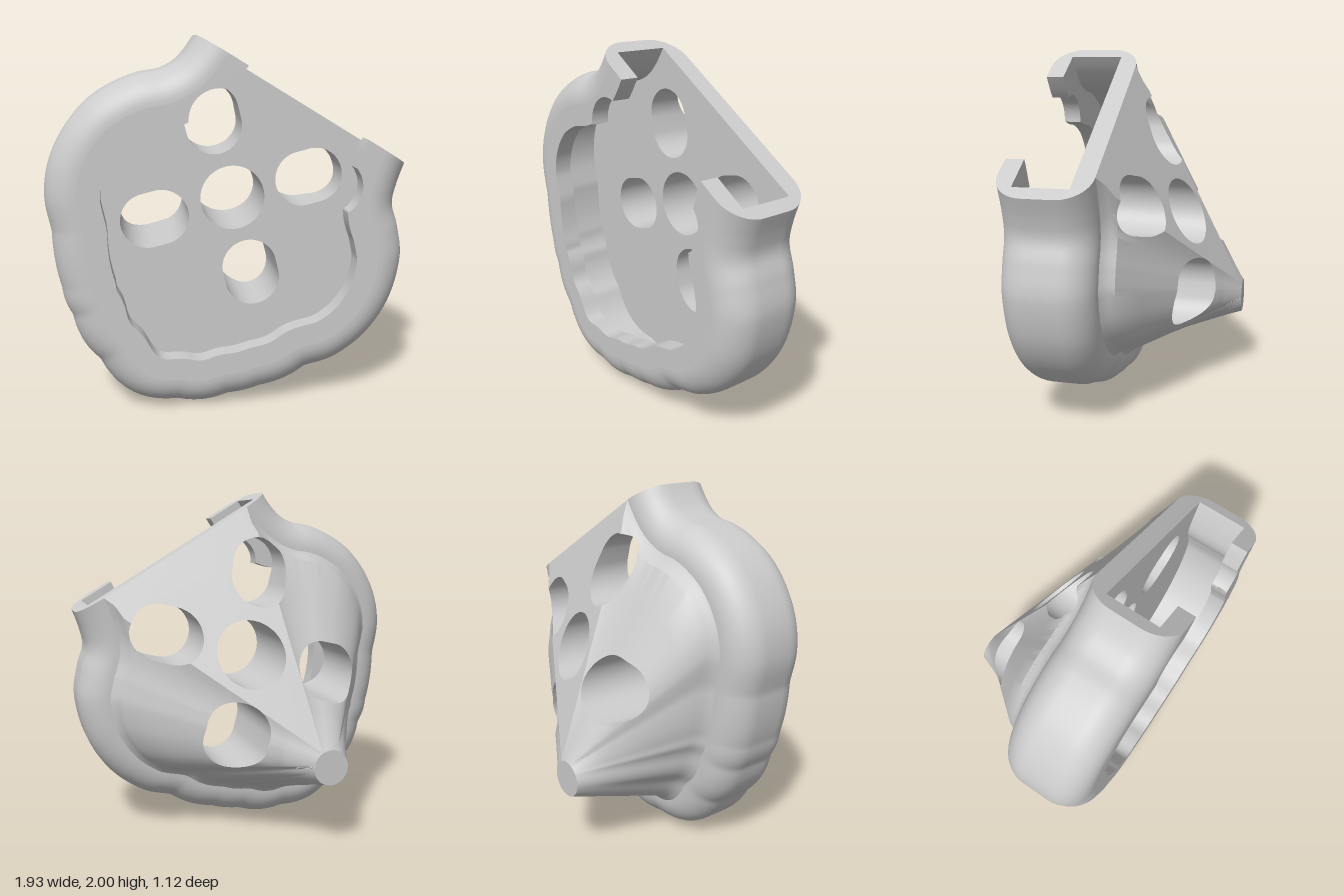
import * as THREE from 'three';
import { toCreasedNormals } from 'three/addons/utils/BufferGeometryUtils.js';

const V2 = (x, y) => new THREE.Vector2(x, y);
const V3 = (x, y, z) => new THREE.Vector3(x, y, z);
const RAYS = 260;
const FRONT = 0.56, BACK = 0.06, FILLET = 0.17;       // body slab
const FLOOR = 0.165, CEIL = 0.46, WALL = 0.08, LIP = 0.29; // pocket
const TIP = V3(-0.3, 0.5, -0.56), TIP_R = 0.1;

// Open outline: left neck, round shoulder, small lobes, big right lobe, right neck
function makeOutline() {
  const p = new THREE.Path();
  const spline = (...a) => p.splineThru(a.map(([x, y]) => V2(x, y)));
  p.moveTo(-0.17, 2);
  spline([-0.22, 1.93], [-0.28, 1.87], [-0.36, 1.83], [-0.47, 1.81], [-0.6, 1.76], [-0.74, 1.67],
    [-0.86, 1.53], [-0.94, 1.36], [-0.965, 1.18], [-0.935, 1.0]);
  const lobes = [[-0.935, 0.83, -0.895, 0.69], [-0.89, 0.61, -0.845, 0.54], [-0.82, 0.38, -0.71, 0.28],
    [-0.58, 0.0, -0.29, 0.02], [-0.15, -0.02, -0.01, 0.035], [0.09, 0.04, 0.17, 0.07], [0.32, 0.09, 0.43, 0.175]];
  lobes.forEach((l) => p.quadraticCurveTo(...l));
  spline([0.6, 0.225], [0.78, 0.36], [0.91, 0.56], [0.965, 0.8], [0.94, 0.98], [0.905, 1.1], [0.92, 1.2], [0.96, 1.32]);
  return p.getPoints(10);
}
const outline = makeOutline();

// Straight slanted end
const A = V2(-0.17, 2), B = V2(0.96, 1.32);
const END_L = A.distanceTo(B);
const along = B.clone().sub(A).normalize();
const out = V2(-along.y, along.x);
const apex = V3(TIP.x + out.x * TIP_R, TIP.y + out.y * TIP_R, TIP.z);
const slope = (out.dot(A) - out.dot(apex)) / (BACK - TIP.z);

function dist(x, y) {
  let m = Infinity;
  for (let i = 1; i < outline.length; i++) {
    const a = outline[i - 1], b = outline[i];
    const dx = b.x - a.x, dy = b.y - a.y, px = x - a.x, py = y - a.y;
    const t = Math.min(1, Math.max(0, (px * dx + py * dy) / (dx * dx + dy * dy + 1e-12)));
    m = Math.min(m, (px - t * dx) ** 2 + (py - t * dy) ** 2);
  }
  return Math.sqrt(m);
}

// Walk from o along v until the outline is d away
function trace(o, v, d) {
  let t = 0;
  for (let k = 0; k < 60; k++) {
    const s = dist(o.x + v.x * t, o.y + v.y * t) - d;
    if (s < 2e-4) break;
    t += s;
  }
  return V2(o.x + v.x * t, o.y + v.y * t);
}

// Outline inset by d, running from the left to the right end of the slant
function ring(d, z) {
  const c = V2(0.05, 1.0);
  const mid = A.clone().lerp(B, 0.5).addScaledVector(out, -Math.max(0, BACK - z) * slope);
  const L = trace(mid, along.clone().negate(), d), R = trace(mid, along, d);
  const a0 = Math.atan2(L.y - c.y, L.x - c.x), a1 = Math.atan2(R.y - c.y, R.x - c.x) + Math.PI * 2;
  return Array.from({ length: RAYS + 1 }, (_, i) => {
    const a = a0 + (a1 - a0) * i / RAYS;
    const p = i === 0 ? L : i === RAYS ? R : trace(c, V2(Math.cos(a), Math.sin(a)), d);
    return V3(p.x, p.y, z);
  });
}

function loft(rings) {
  const tris = [];
  for (let r = 0; r + 1 < rings.length; r++) for (let i = 0; i < RAYS; i++) {
    const a = rings[r][i], b = rings[r + 1][i], c = rings[r + 1][i + 1], d = rings[r][i + 1];
    tris.push([a, b, c], [a, c, d]);
  }
  return tris;
}

function fill(points, map, flip) {
  const g = new THREE.ShapeGeometry(new THREE.Shape(points)), p = g.attributes.position, ix = g.index.array, tris = [];
  const v = (i) => map(p.getX(i), p.getY(i));
  for (let i = 0; i < ix.length; i += 3) {
    const t = [v(ix[i]), v(ix[i + 1]), v(ix[i + 2])];
    tris.push(flip ? t.reverse() : t);
  }
  return tris;
}

// Through holes: one round, four short slots
function slot(x, y, r, dx, dy) {
  const a = Math.atan2(dy, dx), n = 64;
  return Array.from({ length: n }, (_, i) => {
    const t = (i + 0.5) / n * Math.PI * 2, s = Math.cos(t) > 0 ? 0.5 : -0.5;
    return V2(x + s * dx + r * Math.cos(t + a), y + s * dy + r * Math.sin(t + a));
  });
}
const holes = [slot(0.058, 1.1, 0.184, 0, 0), slot(-0.057, 1.545, 0.158, 0.018, -0.073), slot(0.168, 0.655, 0.158, 0.018, -0.073),
  slot(-0.386, 0.988, 0.158, 0.073, 0.018), slot(0.498, 1.21, 0.158, 0.073, 0.018)];
const boxes = holes.map((h) => new THREE.Box2().setFromPoints(h));

function halfPlane(poly, a, b, sign) {
  const side = (p) => sign * ((b.x - a.x) * (p.y - a.y) - (b.y - a.y) * (p.x - a.x));
  const res = [];
  poly.forEach((p, i) => {
    const q = poly[(i + 1) % poly.length], s = side(p), t = side(q);
    if (s >= 0) res.push(p);
    if ((s > 0 && t < 0) || (s < 0 && t > 0)) res.push(p.clone().lerp(q, s / (s - t)));
  });
  return res;
}

// Remove the parts of the triangles that lie inside the holes
function cut(tris) {
  holes.forEach((h, k) => {
    const kept = [];
    for (const t of tris) {
      if (!new THREE.Box2().setFromPoints(t).intersectsBox(boxes[k])) { kept.push(t); continue; }
      let poly = t;
      const parts = [];
      for (let i = 0; i < h.length && poly.length > 2; i++) {
        const a = h[i], b = h[(i + 1) % h.length];
        const o = halfPlane(poly, a, b, -1);
        if (o.length > 2) parts.push(o);
        poly = halfPlane(poly, a, b, 1);
      }
      if (poly.length < 3) { kept.push(t); continue; }
      for (const o of parts) for (let i = 1; i + 1 < o.length; i++) kept.push([o[0], o[i], o[i + 1]]);
    }
    tris = kept;
  });
  return tris.filter((t) => new THREE.Triangle(...t).getArea() > 1e-9);
}

function depthAt(tris, p) {
  let z = Infinity;
  for (const [a, b, c] of tris) {
    const D = (b.y - c.y) * (a.x - c.x) + (c.x - b.x) * (a.y - c.y);
    if (Math.abs(D) < 1e-12) continue;
    const u = ((b.y - c.y) * (p.x - c.x) + (c.x - b.x) * (p.y - c.y)) / D;
    const v = ((c.y - a.y) * (p.x - c.x) + (a.x - c.x) * (p.y - c.y)) / D;
    if (u > -1e-6 && v > -1e-6 && u + v < 1 + 1e-6) z = Math.min(z, u * a.z + v * b.z + (1 - u - v) * c.z);
  }
  return z === Infinity ? BACK : z;
}

export function createModel() {
  const group = new THREE.Group();
  const material = new THREE.MeshStandardMaterial({ color: 0xcccccc });
  const add = (name, tris) => {
    let g = new THREE.BufferGeometry().setFromPoints(tris.flat());
    g = toCreasedNormals(g.scale(30, 30, 30), 0.6).scale(1 / 30, 1 / 30, 1 / 30);
    const m = new THREE.Mesh(g, material);
    m.name = name;
    group.add(m);
  };

  // Section of the rim as [inset, z]
  const section = [];
  for (let i = 0; i <= 12; i++) {
    const a = (i % 13) / 12 * Math.PI / 2;
    section.push([FILLET * (1 - Math.sin(a)), FRONT - FILLET * (1 - Math.cos(a))]);
  }
  const back = section.map(([d, z]) => [d, FRONT + BACK - z]).reverse();
  const rim = [...section, ...back].map(([d, z]) => ring(d, z));
  const foot = [[0.19, 0.043], [0.207, 0.02], [0.222, -0.012]].map(([d, z]) => ring(d, z));
  const pocket = [[WALL, FLOOR], [WALL, CEIL], [LIP, CEIL], [LIP, FRONT]].map(([d, z]) => ring(d, z));

  // Cone from the foot of the rim to the small round tip
  const base = foot[foot.length - 1];
  let last = null;
  const angles = base.map((p) => {
    let a = Math.atan2(p.y - TIP.y, p.x - TIP.x);
    while (last !== null && a < last - Math.PI) a += Math.PI * 2;
    return (last = a);
  });
  const n0 = Math.atan2(out.y, out.x), a0 = angles[0], a1 = angles[RAYS];
  const tip = angles.map((a) => {
    const t = n0 + (a - a0) / (a1 - a0) * Math.PI * 2;
    return V3(TIP.x + TIP_R * Math.cos(t), TIP.y + TIP_R * Math.sin(t), TIP.z);
  });
  const cone = [1, 2, 3, 4, 5, 6].map((k) => base.map((p, i) => p.clone().lerp(tip[i], k / 6)));

  // Flat sloping face between the slanted end and the tip
  const backRings = [rim[rim.length - 1], ...foot];
  const edge = [...backRings.map((r) => r[0]).reverse(), ...backRings.map((r) => r[RAYS])];
  const slopeFace = edge.slice(1).map((p, i) => [apex, edge[i], p]);

  const shell = loft([...rim, ...foot, ...cone]);
  add('shell', cut(shell));
  add('slopeFace', cut(slopeFace));
  add('tipCap', tip.slice(1).map((p, i) => [TIP, p, tip[i]]));
  add('pocketAndLip', cut(loft([...pocket, rim[0]])));
  add('pocketFloor', cut(fill(pocket[0].map((p) => V2(p.x, p.y)), (x, y) => V3(x, y, FLOOR))));

  // Slanted end face with the pocket mouth cut out of it
  const half = [[WALL, FLOOR], [WALL, CEIL], [LIP, CEIL], [LIP, FRONT], ...section, ...back];
  const mirrored = half.map(([s, z]) => [END_L - s, z]).reverse();
  add('endFace', fill([...half, ...mirrored].map(([s, z]) => V2(s, z)),
    (s, z) => V3(A.x + along.x * s, A.y + along.y * s, z), true));

  // Walls of the holes through the back, and through the lip where they bite into it
  const outer = [...shell, ...slopeFace];
  const walls = [];
  for (const h of holes) {
    const depth = h.map((p) => depthAt(outer, p));
    h.forEach((p, i) => {
      const j = (i + 1) % h.length, q = h[j];
      const wall = (top, zp, zq) => {
        const a = V3(p.x, p.y, top), b = V3(q.x, q.y, top), c = V3(q.x, q.y, zq), d = V3(p.x, p.y, zp);
        walls.push([a, b, c], [a, c, d]);
      };
      wall(FLOOR, depth[i], depth[j]);
      if (dist((p.x + q.x) / 2, (p.y + q.y) / 2) < LIP) wall(FRONT, CEIL, CEIL);
    });
  }
  add('holeWalls', walls);
  return group;
}
